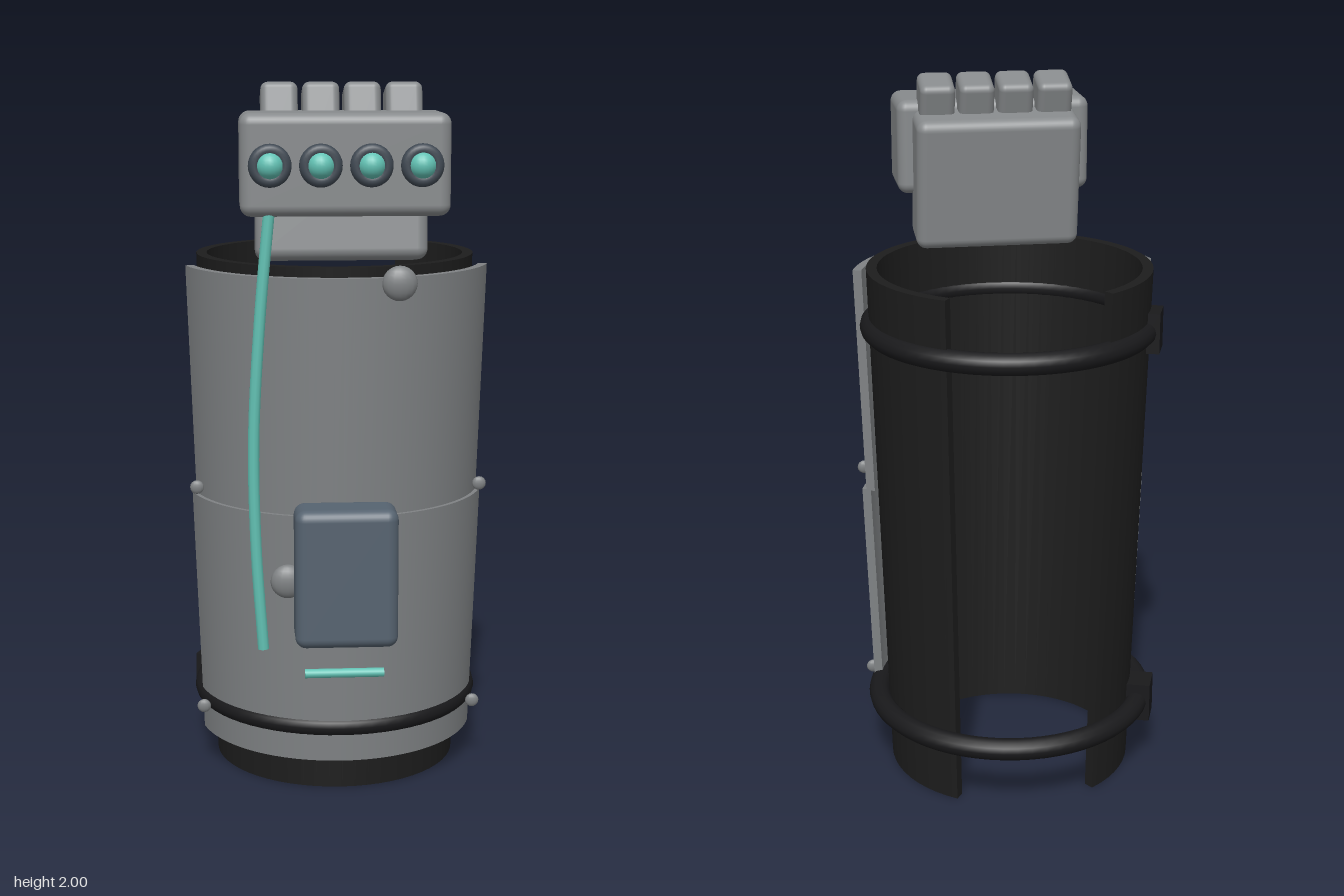
import * as THREE from 'three';
import { RoundedBoxGeometry } from 'three/addons/geometries/RoundedBoxGeometry.js';

const AXIS_Z = -0.08; // the sleeve axis sits slightly behind the centre
const rad = THREE.MathUtils.degToRad;

function flat(name, color) {
  const m = new THREE.MeshStandardMaterial({ color });
  m.name = name;
  return m;
}

// Tapered, curved plate: a box bent around the vertical axis, centred on +z.
function shell(rBottom, rTop, thickness, y0, y1, arcDegrees) {
  const g = new THREE.BoxGeometry(1, 1, 1, 48, 1, 1);
  const p = g.attributes.position;
  for (let i = 0; i < p.count; i++) {
    const t = p.getY(i) + 0.5;
    const a = p.getX(i) * rad(arcDegrees);
    const r = THREE.MathUtils.lerp(rBottom, rTop, t) - (0.5 - p.getZ(i)) * thickness;
    p.setXYZ(i, r * Math.sin(a), THREE.MathUtils.lerp(y0, y1, t), AXIS_Z + r * Math.cos(a));
  }
  g.computeVertexNormals();
  return g;
}

const rounded = (w, h, d, r = 0.03) => new RoundedBoxGeometry(w, h, d, 4, r);

export function createModel() {
  const group = new THREE.Group();
  const black = flat('sleeve black', 0x1d1d1d);
  const strapBlack = flat('strap black', 0x19191b);
  const steel = flat('plate grey', 0x7f8284);
  const lightSteel = flat('fist grey', 0x878a8c);
  const slate = flat('slate blue', 0x566370);
  const bezel = flat('dark bezel', 0x3f4852);
  const teal = flat('teal', 0x62c2b4);

  function add(name, geometry, material, x = 0, y = 0, z = 0) {
    const m = new THREE.Mesh(geometry, material);
    m.name = name;
    m.position.set(x, y, z);
    group.add(m);
    return m;
  }

  // Sleeve open at the back, with two overlapping armour plates in front
  add('sleeve', shell(0.355, 0.4, 0.03, 0, 1.505, 292), black);
  add('upperPlate', shell(0.421, 0.444, 0.025, 0.815, 1.48, 151), steel);
  add('lowerPlate', shell(0.407, 0.433, 0.025, 0.1, 0.82, 151), steel);

  // Strap rings with buckles on the right
  const buckleAngle = Math.atan2(-0.41, -0.14);
  for (const y of [0.2, 1.34]) {
    const ring = add('strapRing', new THREE.TorusGeometry(0.39, 0.031, 12, 64), strapBlack, 0, y, AXIS_Z);
    ring.rotation.x = Math.PI / 2;
    const buckle = add('buckle', new THREE.BoxGeometry(0.09, 0.115, 0.08), strapBlack,
      0.388 * Math.sin(buckleAngle), y, AXIS_Z + 0.388 * Math.cos(buckleAngle));
    buckle.rotation.y = buckleAngle;
  }

  // Rivets on the plate sides
  const rivet = new THREE.SphereGeometry(0.02, 12, 8);
  for (const side of [-1, 1]) {
    for (const [x, y] of [[0.405, 0.855], [0.394, 0.197]]) {
      add('rivet', rivet, steel, side * x, y, 0.118).scale.z = 0.5;
    }
  }

  // Flattened knobs on the plate front
  const knob = new THREE.SphereGeometry(0.048, 16, 12);
  add('upperKnob', knob, steel, 0.15, 1.465, 0.35).scale.z = 0.55;
  add('lowerKnob', knob, steel, -0.155, 0.635, 0.335).scale.z = 0.55;

  // Fist: tilted palm, knuckle block and four fingers
  add('palm', rounded(0.47, 0.38, 0.155), lightSteel, 0, 1.7, 0.178).rotation.x = -0.13;
  add('knuckleBlock', rounded(0.556, 0.27, 0.222), lightSteel, 0, 1.785, 0.317);
  for (let i = 0; i < 4; i++) {
    const k = i - 1.5;
    const finger = add('finger', rounded(0.1, 0.22, 0.118, 0.02), lightSteel, k * 0.112, 1.878, 0.218);
    finger.rotation.x = -0.28;

    // Knuckle lamp with its bezel
    add('lampBezel', new THREE.TorusGeometry(0.04, 0.017, 12, 28), bezel, k * 0.133, 1.785, 0.432);
    add('lamp', new THREE.SphereGeometry(0.038, 20, 14), teal, k * 0.133, 1.785, 0.43);
  }

  // Power pack and indicator bar
  add('powerPack', rounded(0.28, 0.386, 0.136), slate, 0, 0.678, 0.428);
  const bar = add('indicatorBar', new THREE.CylinderGeometry(0.013, 0.013, 0.22, 12), teal, 0, 0.38, 0.378);
  bar.rotation.z = Math.PI / 2;

  // Hose from the knuckle block down the front
  const path = new THREE.CatmullRomCurve3([
    [-0.2, 1.68, 0.4], [-0.228, 1.38, 0.398], [-0.247, 1.05, 0.394],
    [-0.243, 0.75, 0.392], [-0.225, 0.46, 0.39],
  ].map((p) => new THREE.Vector3(...p)));
  add('hose', new THREE.TubeGeometry(path, 32, 0.016, 10), teal);
  for (const t of [0, 1]) {
    const p = path.getPoint(t);
    const cap = add('hoseCap', new THREE.CircleGeometry(0.016, 10), teal, p.x, p.y, p.z);
    cap.lookAt(p.clone().addScaledVector(path.getTangent(t), t ? 1 : -1));
  }

  return group;
}
